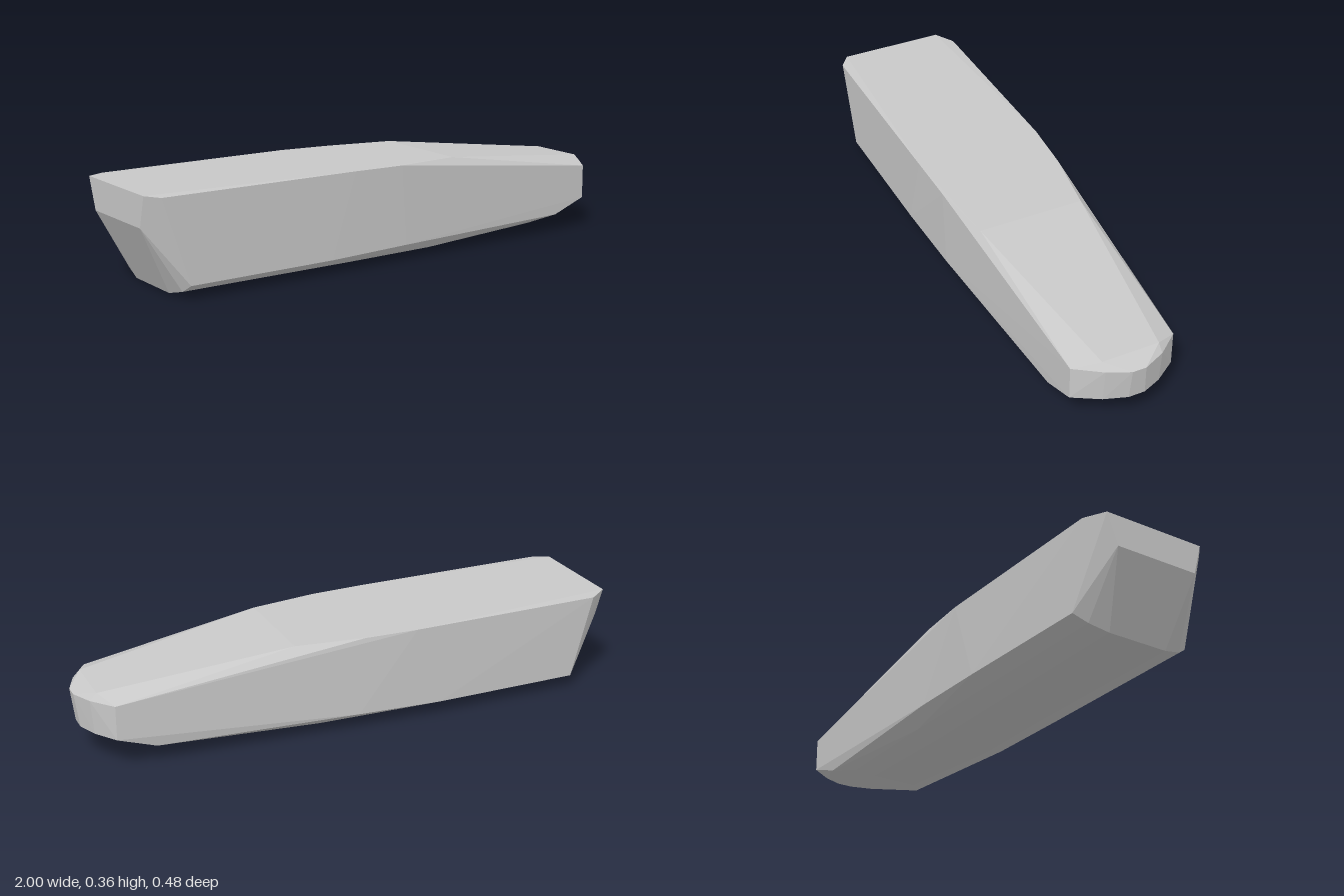
import * as THREE from 'three';
import { ConvexGeometry } from 'three/addons/geometries/ConvexGeometry.js';

export function createModel() {
  const group = new THREE.Group();
  const grey = new THREE.MeshStandardMaterial({ color: 0xc8c8c8 });
  grey.name = 'light stone grey';

  // Edge points of the faceted bar: x, y, front z, back z
  const edges = [
    // blunt end
    [-1.0, 0.362, 0.2, -0.19],
    [-1.0, 0.25, 0.17, -0.15],
    [-0.955, 0.357, 0.236, -0.22],
    [-0.93, 0.357, 0.237, -0.236],
    [-0.855, 0.05, 0.237, -0.228],
    [-0.868, 0.024, 0.2, -0.175],
    [-0.88, 0.006, 0.13, -0.1],
    // upper edges
    [-0.2, 0.354, 0.238, -0.24],
    [0.0, 0.351, 0.237, -0.226],
    [0.25, 0.348, 0.207, -0.185],
    [0.94, 0.265, 0.11, -0.1],
    [0.9, 0.24, 0.203, -0.18],
    // lower side edges
    [-0.3, 0.052, 0.239, -0.236],
    [0.02, 0.06, 0.237, -0.228],
    [0.76, 0.066, 0.207, -0.18],
    [0.9, 0.115, 0.203, -0.18],
    // underside
    [-0.2, 0.023, 0.2, -0.175],
    [0.15, 0.003, 0.13, -0.09],
    [0.15, 0.025, 0.2, -0.17],
    [0.61, 0.018, 0.1, -0.075],
    [0.65, 0.04, 0.17, -0.14],
    // rounded tip
    [0.965, 0.24, 0.11, -0.1],
    [0.955, 0.115, 0.11, -0.1],
    [1.0, 0.238, 0.03, -0.02],
    [0.985, 0.117, 0.03, -0.03],
  ];

  const points = edges.flatMap(([x, y, front, back]) => [
    new THREE.Vector3(x, y, front),
    new THREE.Vector3(x, y, back),
  ]);
  // lowest line of the flat underside
  points.push(new THREE.Vector3(0.1, 0, -0.09), new THREE.Vector3(-0.2, 0.001, 0.12));

  const bar = new THREE.Mesh(new ConvexGeometry(points), grey);
  bar.name = 'facetedBar';
  group.add(bar);
  return group;
}
